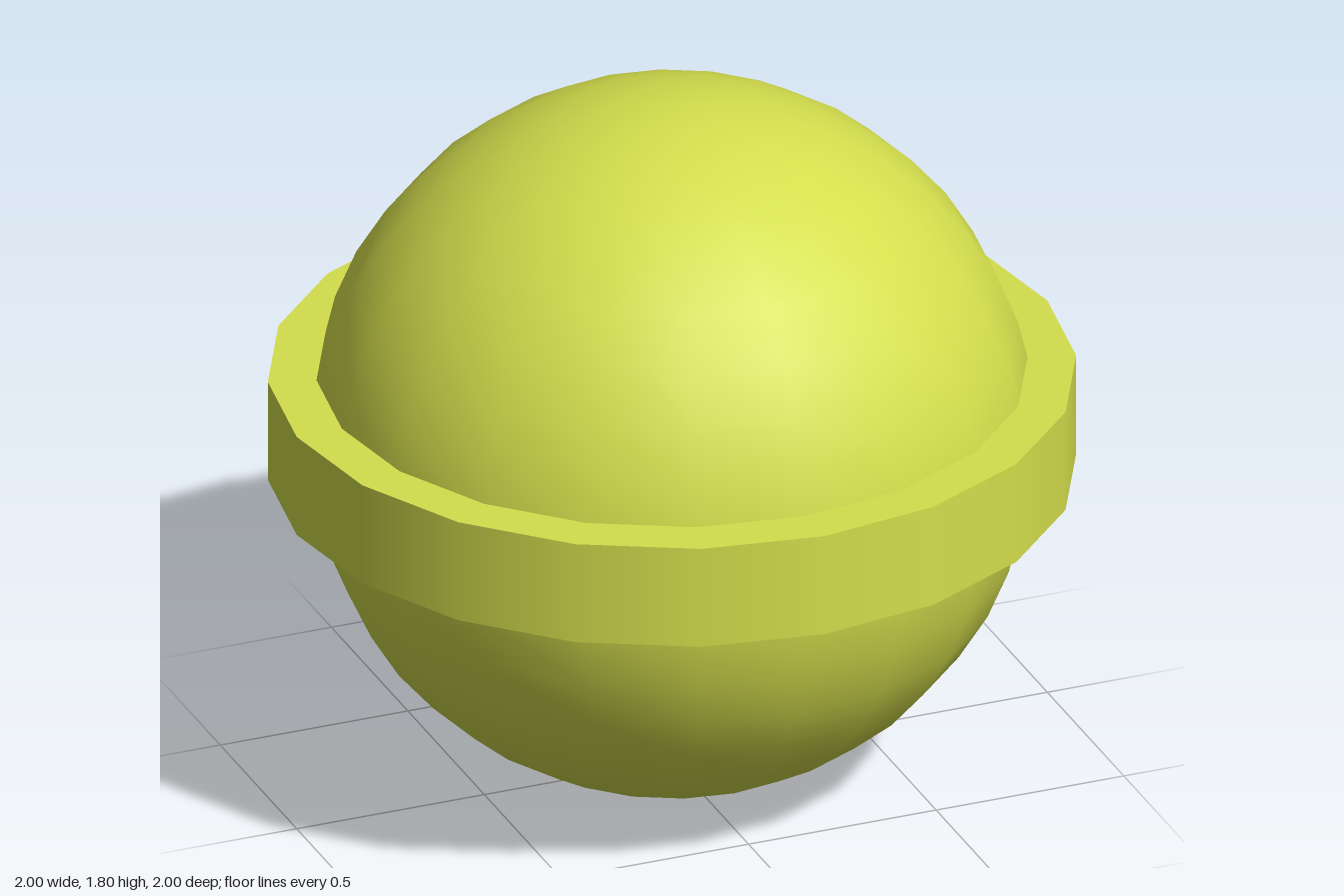
import * as THREE from 'three';

const SIDES = 20;
const RADIUS = 0.9;

export function createModel() {
  const model = new THREE.Group();
  model.name = 'bandedBall';
  const material = new THREE.MeshStandardMaterial({ color: 0xd4de4c });

  const addPart = (name, geometry, y) => {
    const mesh = new THREE.Mesh(geometry, material);
    mesh.name = name;
    mesh.position.y = y;
    model.add(mesh);
  };

  // Smooth ball resting on the ground
  addPart('ball', new THREE.SphereGeometry(RADIUS, SIDES, SIDES), RADIUS);

  // Flat-topped band around the middle, set slightly above the equator
  addPart('band', new THREE.CylinderGeometry(1, 1, 0.27, SIDES), 0.945);

  return model;
}
